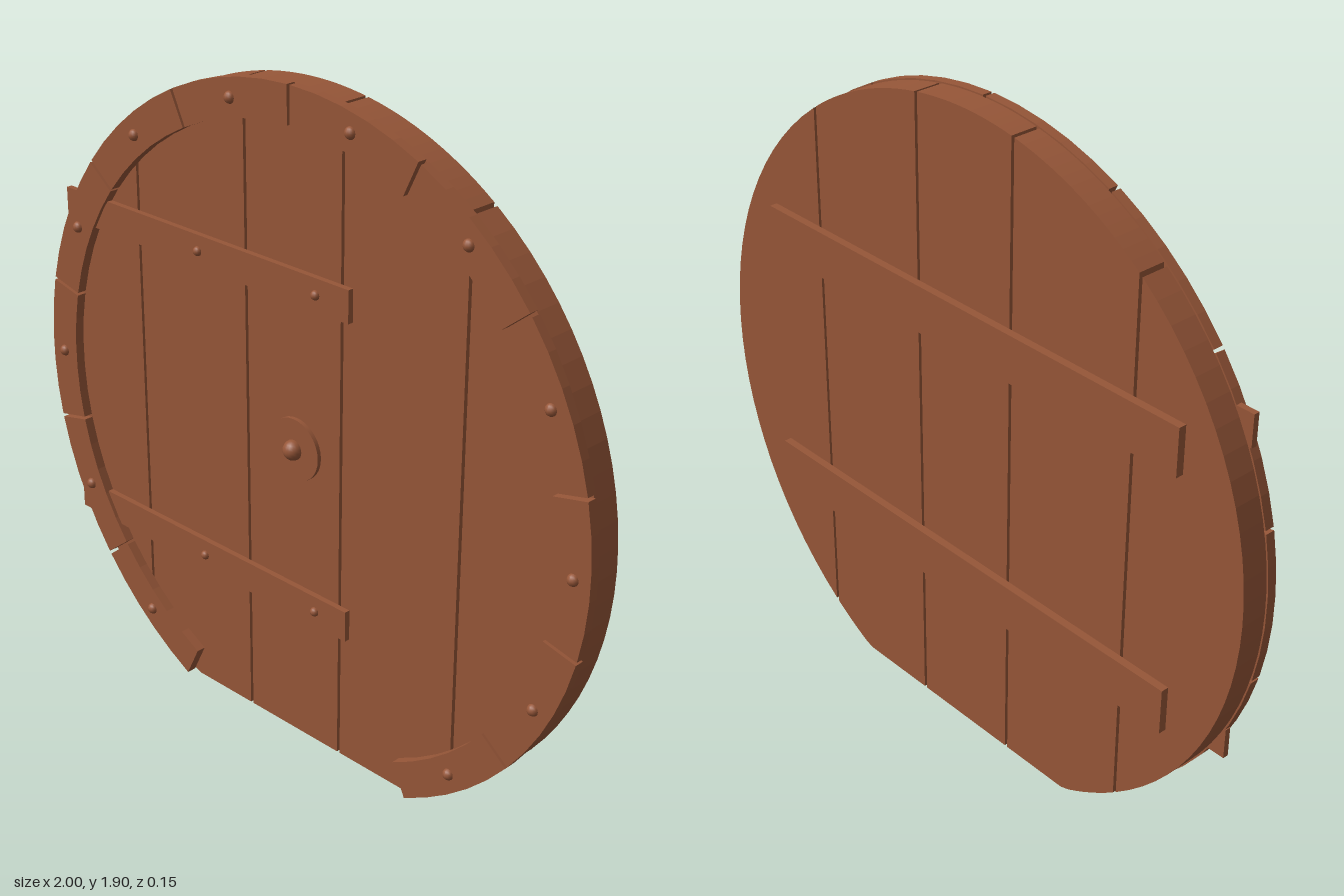
import * as THREE from 'three';

export function createModel() {
  const door = new THREE.Group();
  door.name = 'roundDoor';
  const wood = new THREE.MeshStandardMaterial({ color: 0x965638 });
  wood.name = 'brown wood';
  const CY = 0.905; // height of the door centre

  const add = (name, geometry, x = 0, y = 0, z = 0) => {
    const mesh = new THREE.Mesh(geometry, wood);
    mesh.name = name;
    mesh.position.set(x, y, z);
    door.add(mesh);
    return mesh;
  };
  const extrude = (points, depth) =>
    new THREE.ExtrudeGeometry(new THREE.Shape(points), { depth, bevelEnabled: false });
  const box = (name, x0, x1, y0, y1, z0, z1) =>
    add(name, new THREE.BoxGeometry(x1 - x0, y1 - y0, z1 - z0),
      (x0 + x1) / 2, (y0 + y1) / 2, (z0 + z1) / 2);

  // Planks: vertical slices of a disc with a flat foot
  const R = 0.995, foot = 0.004, gap = 0.005;
  const cuts = [-R - gap, -0.616, -0.188, 0.163, 0.577, R + gap];
  for (let i = 0; i < 5; i++) {
    const t0 = Math.acos(-Math.max(-1, (cuts[i] + gap) / R));
    const t1 = Math.acos(-Math.min(1, (cuts[i + 1] - gap) / R));
    const top = [], bottom = [];
    const steps = 14;
    for (let k = 0; k <= steps; k++) {
      const t = t0 + (t1 - t0) * k / steps;
      const x = -R * Math.cos(t), h = R * Math.sin(t);
      top.push(new THREE.Vector2(x, CY + h));
      // the outermost tips have no height, so keep a single point there
      if (h > 1e-4) bottom.push(new THREE.Vector2(x, Math.max(foot, CY - h)));
    }
    add('plank', extrude([...bottom, ...top.reverse()], 0.08), 0, 0, -0.05);
  }

  // Rim: twelve curved blocks, open at the foot, each with a rivet
  const step = Math.PI * 2 / 14;
  const rivet = new THREE.SphereGeometry(0.017, 12, 8);
  for (let i = 0; i < 12; i++) {
    const a0 = Math.PI / 2 + (i - 6) * step;
    const inner = [], outer = [];
    for (let k = 0; k <= 5; k++) {
      const a = a0 + 0.005 + (step - 0.01) * k / 5;
      outer.push(new THREE.Vector2(Math.cos(a), CY + Math.sin(a)));
      inner.push(new THREE.Vector2(0.895 * Math.cos(a), CY + 0.895 * Math.sin(a)));
    }
    add('rimBlock', extrude([...outer, ...inner.reverse()], 0.028), 0, 0, 0.03);
    const mid = a0 + step / 2;
    add('rimRivet', rivet, 0.948 * Math.cos(mid), CY + 0.948 * Math.sin(mid), 0.056);
  }

  // Hinge straps on the front, running under the rim, with two bolts each
  for (const y of [0.44, 1.374]) {
    box('hingeStrap', -0.91, 0.2, y - 0.046, y + 0.046, 0.03, 0.047);
    for (const x of [-0.358, 0.085]) add('hingeBolt', rivet, x, y, 0.047).scale.set(0.8, 0.8, 0.8);
  }

  // Battens across the back
  for (const y of [0.52, 1.297]) box('backBatten', -0.78, 0.775, y - 0.069, y + 0.069, -0.073, -0.05);

  // Handle: round plate and knob
  add('handlePlate', new THREE.CylinderGeometry(0.09, 0.09, 0.012, 32).rotateX(Math.PI / 2), 0, CY, 0.036);
  add('handleKnob', new THREE.SphereGeometry(0.029, 16, 12), 0, CY, 0.044);

  return door;
}
